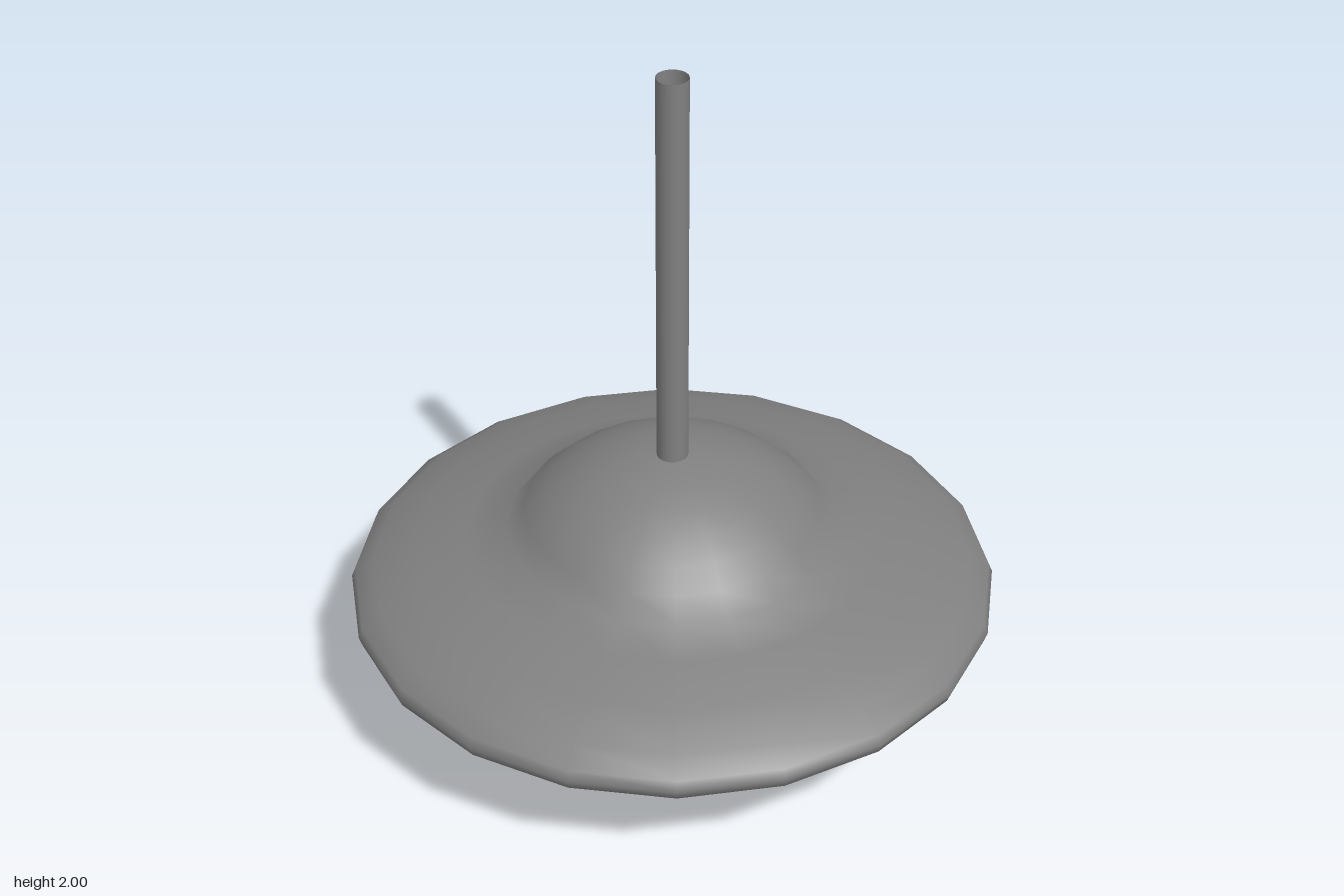
import * as THREE from 'three';

const material = new THREE.MeshStandardMaterial({ color: 0x808080, side: THREE.DoubleSide });

// Revolves a list of [radius, height] points around the y axis
function lathe(name, points, sides) {
  const profile = points.map(([r, y]) => new THREE.Vector2(r, y));
  const mesh = new THREE.Mesh(new THREE.LatheGeometry(profile, sides), material);
  mesh.name = name;
  return mesh;
}

// Points on an arc around (0, cy), angles measured from the downward axis
function arc(rx, ry, cy, from, to, steps) {
  return Array.from({ length: steps + 1 }, (_, i) => {
    const a = from + (to - from) * i / steps;
    return [Math.max(0, rx * Math.sin(a)), cy - ry * Math.cos(a)];
  });
}

export function createModel() {
  const lamp = new THREE.Group();
  lamp.name = 'pendantLamp';

  // Shade: shallow underside, rolled rim, sloping brim and domed crown
  const domeRadius = 0.593;
  const domeEdge = Math.PI - Math.asin(0.478 / domeRadius);
  lamp.add(lathe('shade', [
    [0, 0.55], [0.25, 0.547], [0.48, 0.53], [0.66, 0.49], [0.78, 0.44], [0.85, 0.38],
    [0.868, 0.328], [0.9, 0.336], [0.928, 0.36], [0.937, 0.388], [0.925, 0.416],
    [0.87, 0.456], [0.75, 0.504], [0.6, 0.546],
    ...arc(domeRadius, domeRadius, 0.227, domeEdge, Math.PI, 7),
  ], 20));

  // Hollow hanging rod, open at the top
  lamp.add(lathe('rod', [[0.045, 0.8], [0.045, 2]], 20));

  // Socket under the shade
  lamp.add(lathe('socketWall', [[0.083, 0.318], [0.083, 0.548]], 20));
  lamp.add(lathe('socketBase', [[0, 0.318], [0.083, 0.318]], 20));

  // Bulb: rounded bottom, tapering shoulder and straight neck
  lamp.add(lathe('bulbGlobe', arc(0.116, 0.132, 0.132, 0, Math.PI / 2, 10), 24));
  lamp.add(lathe('bulbShoulder', [[0.116, 0.132], [0.053, 0.24]], 24));
  lamp.add(lathe('bulbNeck', [[0.053, 0.24], [0.053, 0.325]], 24));

  return lamp;
}
